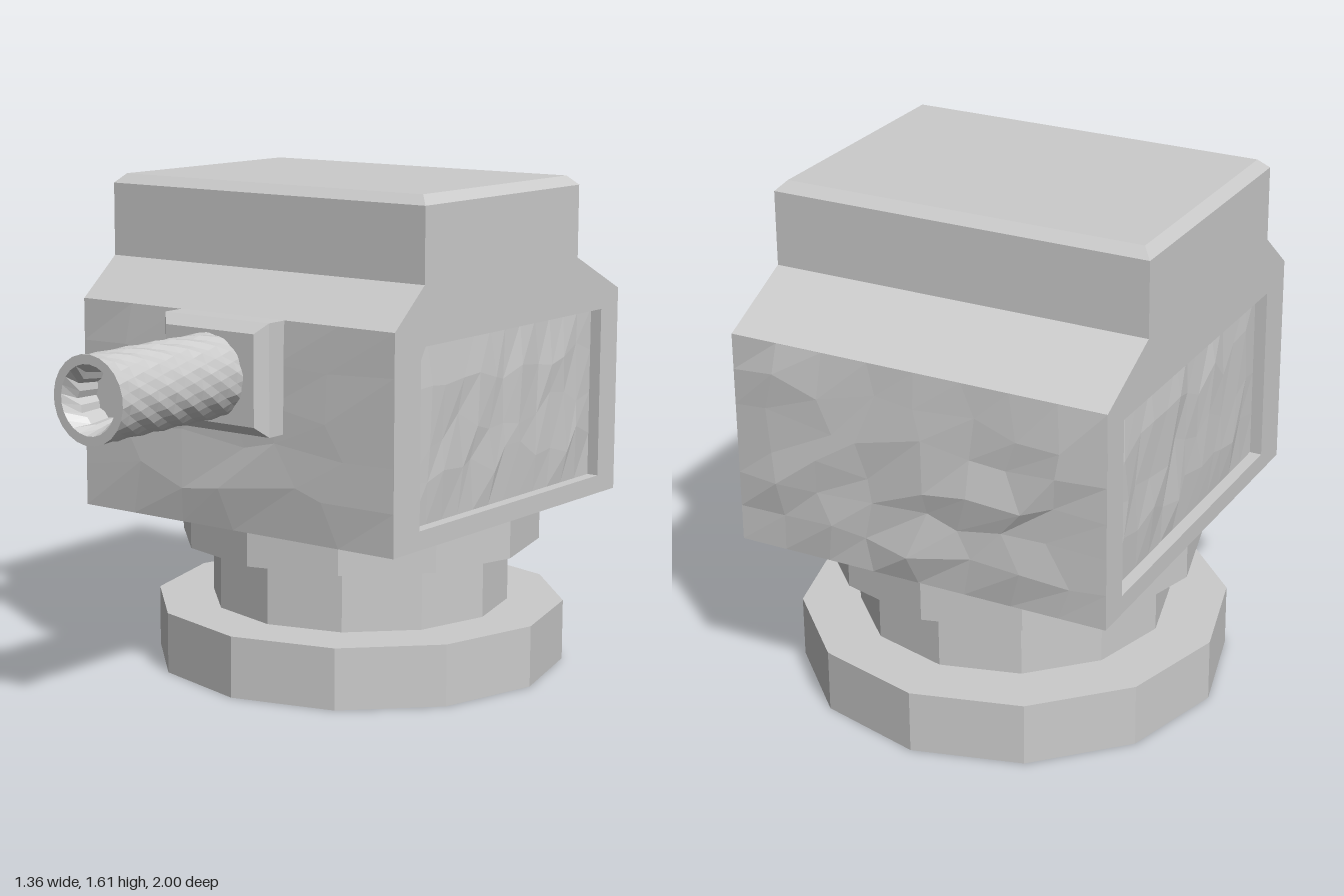
import * as THREE from 'three';

const material = new THREE.MeshStandardMaterial({ color: 0xcccccc, flatShading: true });

function part(name, geometry, x = 0, y = 0, z = 0) {
  const mesh = new THREE.Mesh(geometry, material);
  mesh.name = name;
  mesh.position.set(x, y, z);
  return mesh;
}

// Repeatable value from 0 to 1 for a whole number
function noise(n) {
  const s = Math.sin(n * 127.1 + 11.7) * 43758.5453;
  return s - Math.floor(s);
}

// Box whose +z end is drawn in by a bevel
function bevelBox(w, h, d, inset) {
  const g = new THREE.BoxGeometry(w, h, d);
  const p = g.attributes.position;
  for (let i = 0; i < p.count; i++) {
    if (p.getZ(i) > 0) {
      p.setX(i, p.getX(i) - Math.sign(p.getX(i)) * inset);
      p.setY(i, p.getY(i) - Math.sign(p.getY(i)) * inset);
    }
  }
  return g;
}

// Rough sheet facing +z, flat at its border; height(x, y, random) gives the relief
function roughSheet(w, h, nx, ny, seed, height) {
  const g = new THREE.PlaneGeometry(w, h, nx, ny);
  const p = g.attributes.position;
  for (let i = 0; i < p.count; i++) {
    const col = i % (nx + 1), row = Math.floor(i / (nx + 1));
    if (col === 0 || col === nx || row === 0 || row === ny) continue;
    const n = seed + i * 3;
    const x = p.getX(i) + (noise(n) - 0.5) * 0.6 * w / nx;
    const y = p.getY(i) + (noise(n + 1) - 0.5) * 0.6 * h / ny;
    p.setXYZ(i, x, y, height(x, y, noise(n + 2)));
  }
  return g;
}

// Side outline extruded across x; points are [z, y]
function sideSlab(outline, width, hole) {
  const toPoints = (list) => list.map(([z, y]) => new THREE.Vector2(-z, y));
  const shape = new THREE.Shape(toPoints(outline));
  if (hole) shape.holes.push(new THREE.Path(toPoints(hole)));
  const g = new THREE.ExtrudeGeometry(shape, { depth: width, bevelEnabled: false });
  return g.translate(0, 0, -width / 2).rotateY(Math.PI / 2);
}

// Twisted, ribbed tube with a jagged bore, pointing along +z
function barrelGeometry() {
  const length = 0.56, rows = 14, sides = 24;
  const profile = [];
  for (let i = 0; i <= rows; i++) profile.push(new THREE.Vector2(0.135, length * i / rows));
  profile.push(new THREE.Vector2(0.106, length));
  profile.push(new THREE.Vector2(0.088, length - 0.05));
  profile.push(new THREE.Vector2(0.078, length - 0.12));
  profile.push(new THREE.Vector2(0, length - 0.12));
  const g = new THREE.LatheGeometry(profile, sides);
  g.rotateX(Math.PI / 2);
  const p = g.attributes.position;
  for (let i = 0; i < p.count; i++) {
    const col = Math.floor(i / profile.length) % sides, row = i % profile.length;
    const z = p.getZ(i);
    const r = Math.hypot(p.getX(i), p.getY(i));
    const rib = row < rows ? 1 - 0.035 * (col % 2) - 0.02 * noise(row * 31 + col)
      : row > rows + 1 ? 1 - 0.1 * (col % 2) : 1;
    const angle = Math.atan2(p.getY(i), p.getX(i)) + z * 5
      + (row > rows + 1 ? 0.35 * (row - rows) : 0);
    p.setXY(i, r * rib * Math.cos(angle), r * rib * Math.sin(angle));
  }
  return g;
}

export function createModel() {
  const model = new THREE.Group();
  model.name = 'mountedDevice';

  // Stepped twelve-sided stand
  for (const [name, radius, bottom, top] of [
    ['baseDisc', 0.68, 0, 0.2],
    ['neck', 0.495, 0.2, 0.41],
    ['collar', 0.597, 0.41, 0.545],
  ]) {
    const g = new THREE.CylinderGeometry(radius, radius, top - bottom, 12);
    model.add(part(name, g, 0, (bottom + top) / 2, -0.32));
  }

  // Housing: a solid core with a windowed slab on each side
  const outline = [
    [0.345, 0.54], [0.345, 1.22], [0.195, 1.345], [0.195, 1.58],
    [-0.665, 1.58], [-0.665, 1.345], [-0.925, 1.22], [-0.925, 0.54],
  ];
  const panelHole = [[0.21, 0.6], [-0.82, 0.6], [-0.82, 1.16], [0.21, 1.16]];
  model.add(part('housing', sideSlab(outline, 1.15)));
  for (const side of [1, -1]) {
    const label = side > 0 ? 'left' : 'right';
    model.add(part(label + 'PanelFrame', sideSlab(outline, 0.04, panelHole), side * 0.595));
    const panel = part(label + 'Panel',
      roughSheet(1.03, 0.56, 12, 4, 40 + side, (x, y, r) => 0.003 + 0.012 * r),
      side * 0.576, 0.88, -0.305);
    panel.rotation.y = side * Math.PI / 2;
    model.add(panel);
  }

  // Bevelled lid
  const lid = part('lid', bevelBox(1.23, 0.86, 0.03, 0.03), 0, 1.595, -0.235);
  lid.rotation.x = -Math.PI / 2;
  model.add(lid);

  // Rough front face, with a low ridge beneath the socket
  const frontHeight = (x, y, r) => {
    const ridge = Math.max(0, 1 - Math.abs(y + 0.22) / 0.14) * Math.max(0, 1 - Math.abs(x) / 0.6);
    return 0.002 + 0.008 * r + 0.016 * ridge;
  };
  model.add(part('frontFace', roughSheet(1.23, 0.68, 6, 5, 7, frontHeight), 0, 0.88, 0.346));

  // Rough back face
  const back = part('backFace',
    roughSheet(1.23, 0.68, 8, 6, 211, (x, y, r) => 0.003 + 0.026 * r * r), 0, 0.88, -0.926);
  back.rotation.y = Math.PI;
  model.add(back);

  // Square socket and barrel
  model.add(part('socket', new THREE.BoxGeometry(0.41, 0.35, 0.1), 0, 1.045, 0.37));
  model.add(part('socketBevel', bevelBox(0.41, 0.35, 0.035, 0.032), 0, 1.045, 0.4375));
  model.add(part('barrel', barrelGeometry(), 0, 1.045, 0.44));

  return model;
}
